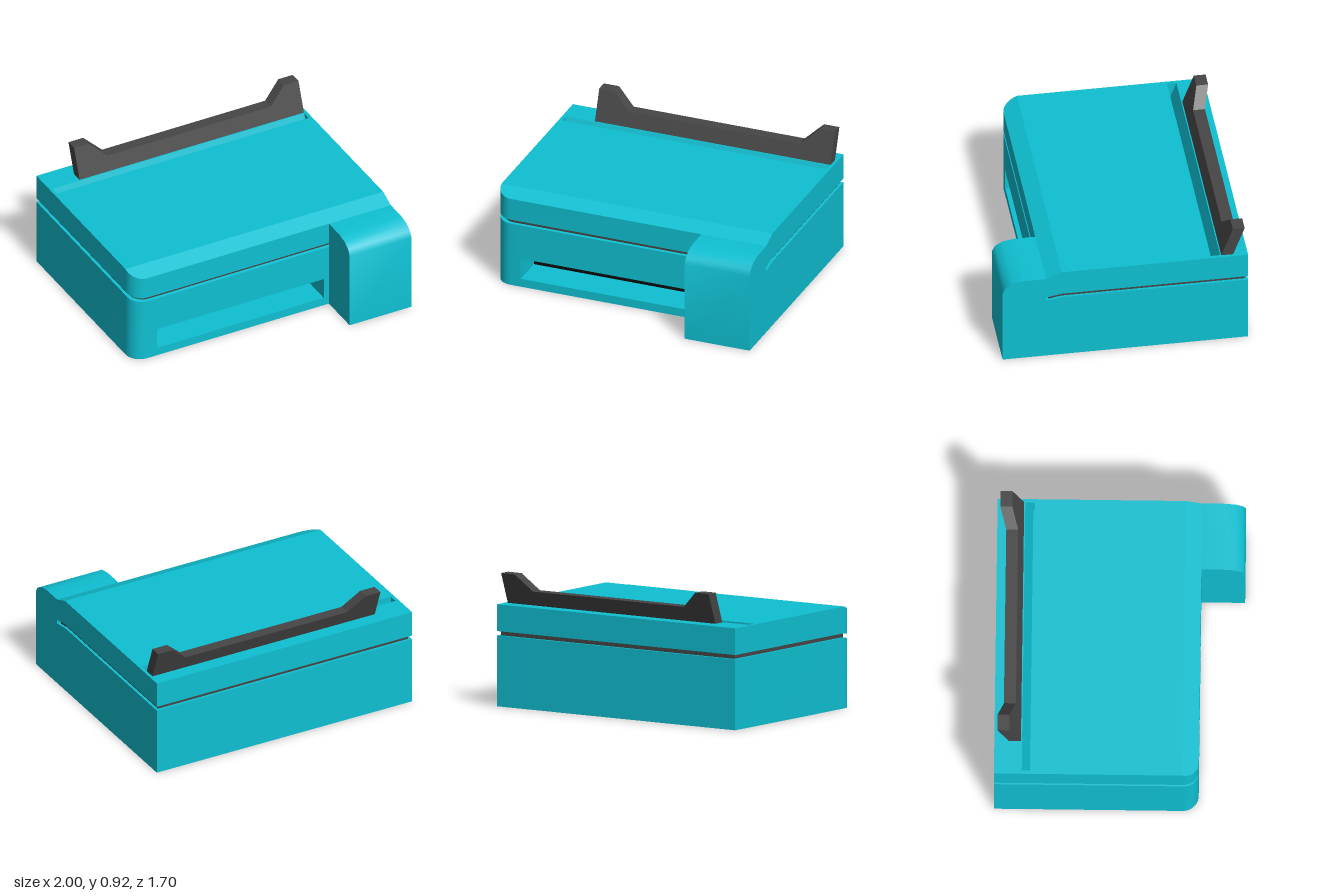
import * as THREE from 'three';
import { toCreasedNormals } from 'three/addons/utils/BufferGeometryUtils.js';

const BACK = -0.85, FRONT = 0.55, R = 0.11, BEND = FRONT - R;
const teal = new THREE.MeshStandardMaterial({ color: 0x0fc0d2 });
const dark = new THREE.MeshStandardMaterial({ color: 0x464646 });
const black = new THREE.MeshStandardMaterial({ color: 0x0a0a0a });

// Front edge of the plan at x: straight, with one rounded corner at x = -1
function frontZ(x) {
  const d = Math.max(0, R - 1 - x);
  return BEND + Math.sqrt(Math.max(0, R * R - d * d));
}
// Height of a surface that slopes down by `drop` ahead of the bend line
const sloped = (y, z, drop) => y - drop * (z - BEND) / R;

// Loft a [z, y] section (counter-clockwise) along x, with extra stations round the corner
function loft(x0, x1, section, crease = 0.35) {
  const xs = [x0];
  for (let i = 0; i <= 10; i++) {
    const x = -1 + R - R * Math.cos(i / 10 * Math.PI / 2);
    if (x > x0 + 1e-4 && x < x1 - 1e-4) xs.push(x);
  }
  xs.push(x1);
  const rings = xs.map(x => section(frontZ(x)).map(([z, y]) => [x, y, z]));
  const pos = [];
  const tri = (a, b, c) => pos.push(...a, ...b, ...c);
  const n = rings[0].length;
  for (let i = 0; i < xs.length - 1; i++) {
    for (let j = 0; j < n; j++) {
      const k = (j + 1) % n, p = rings[i], q = rings[i + 1];
      tri(p[j], q[j], q[k]);
      tri(p[j], q[k], p[k]);
    }
  }
  const cap = (ring, flip) => {
    const flat = ring.map(p => new THREE.Vector2(p[2], p[1]));
    for (const [a, b, c] of THREE.ShapeUtils.triangulateShape(flat, [])) {
      if (flip) tri(ring[a], ring[c], ring[b]);
      else tri(ring[a], ring[b], ring[c]);
    }
  };
  cap(rings[0], false);
  cap(rings[rings.length - 1], true);
  const geo = new THREE.BufferGeometry();
  geo.setAttribute('position', new THREE.Float32BufferAttribute(pos, 3));
  return toCreasedNormals(geo, crease);
}

export function createModel() {
  const model = new THREE.Group();
  const add = (name, geo, mat, parent = model) => {
    const mesh = new THREE.Mesh(geo, mat);
    mesh.name = name;
    parent.add(mesh);
    return mesh;
  };
  const group = name => {
    const g = new THREE.Group();
    g.name = name;
    model.add(g);
    return g;
  };

  // Lower body: the middle stretch has the output recess cut into its front
  const bay = { x0: -0.815, x1: 0.48, y0: 0.06, y1: 0.215, z: 0.3 };
  const bodySection = recess => f => [
    [BACK, 0], [f, 0],
    ...(recess ? [[f, bay.y0], [bay.z, bay.y0], [bay.z, bay.y1], [f, bay.y1]] : []),
    [f, sloped(0.49, f, 0.02)], [BEND, 0.49], [BACK, 0.49],
  ];
  const body = group('lowerBody');
  add('bodyLeftOfBay', loft(-1, bay.x0, bodySection(false)), teal, body);
  add('bodyAroundBay', loft(bay.x0, bay.x1, bodySection(true)), teal, body);
  add('bodyRightOfBay', loft(bay.x1, 1, bodySection(false)), teal, body);

  // Black wall at the back of the recess
  const wall = add('bayBackWall', new THREE.BoxGeometry(bay.x1 - bay.x0, bay.y1 - bay.y0, 0.01), black);
  wall.position.set((bay.x0 + bay.x1) / 2, (bay.y0 + bay.y1) / 2, bay.z + 0.005);

  // Dark inset core showing through the seam between body and lid
  const core = loft(-1, 1, f => [
    [BACK + 0.02, 0.45], [f - 0.02, 0.45], [f - 0.02, 0.54], [BACK + 0.02, 0.54],
  ]);
  core.scale(0.98, 1, 1);
  add('seamCore', core, dark);

  // Lid with a slanted paper slot near the back
  const lidSection = slot => f => [
    [BACK, 0.52], [BEND, 0.52], [f, sloped(0.52, f, 0.02)],
    [f, sloped(0.705, f, 0.045)], [BEND, 0.705],
    ...(slot ? [[-0.595, 0.705], [-0.595, 0.56], [-0.605, 0.56], [-0.66, 0.705]] : []),
    [BACK, 0.705],
  ];
  const lid = group('lid');
  add('lidLeftEnd', loft(-1, -0.975, lidSection(false)), teal, lid);
  add('lidWithSlot', loft(-0.975, 0.975, lidSection(true)), teal, lid);
  add('lidRightEnd', loft(0.975, 1, lidSection(false)), teal, lid);

  // Control console projecting at the front, with a rounded top edge
  add('console', loft(0.52, 1, () => [
    [FRONT, 0], [0.85, 0], [0.85, 0.57], [0.83, 0.612], [0.78, 0.645],
    [0.70, 0.66], [FRONT, 0.66],
  ], 0.6), teal);

  // Paper support: notched plate leaning backwards
  const outline = [
    [-0.763, 0.70], [0.978, 0.70], [0.978, 0.92], [0.865, 0.92],
    [0.74, 0.807], [-0.525, 0.807], [-0.65, 0.92], [-0.763, 0.92],
  ].map(p => new THREE.Vector2(...p));
  const support = new THREE.ExtrudeGeometry(new THREE.Shape(outline), { depth: 0.082, bevelEnabled: false });
  const p = support.attributes.position;
  for (let i = 0; i < p.count; i++) {
    p.setZ(i, p.getZ(i) - 0.75 - (p.getY(i) - 0.705) * 0.37);
  }
  support.computeVertexNormals();
  add('paperSupport', support, dark);

  return model;
}
